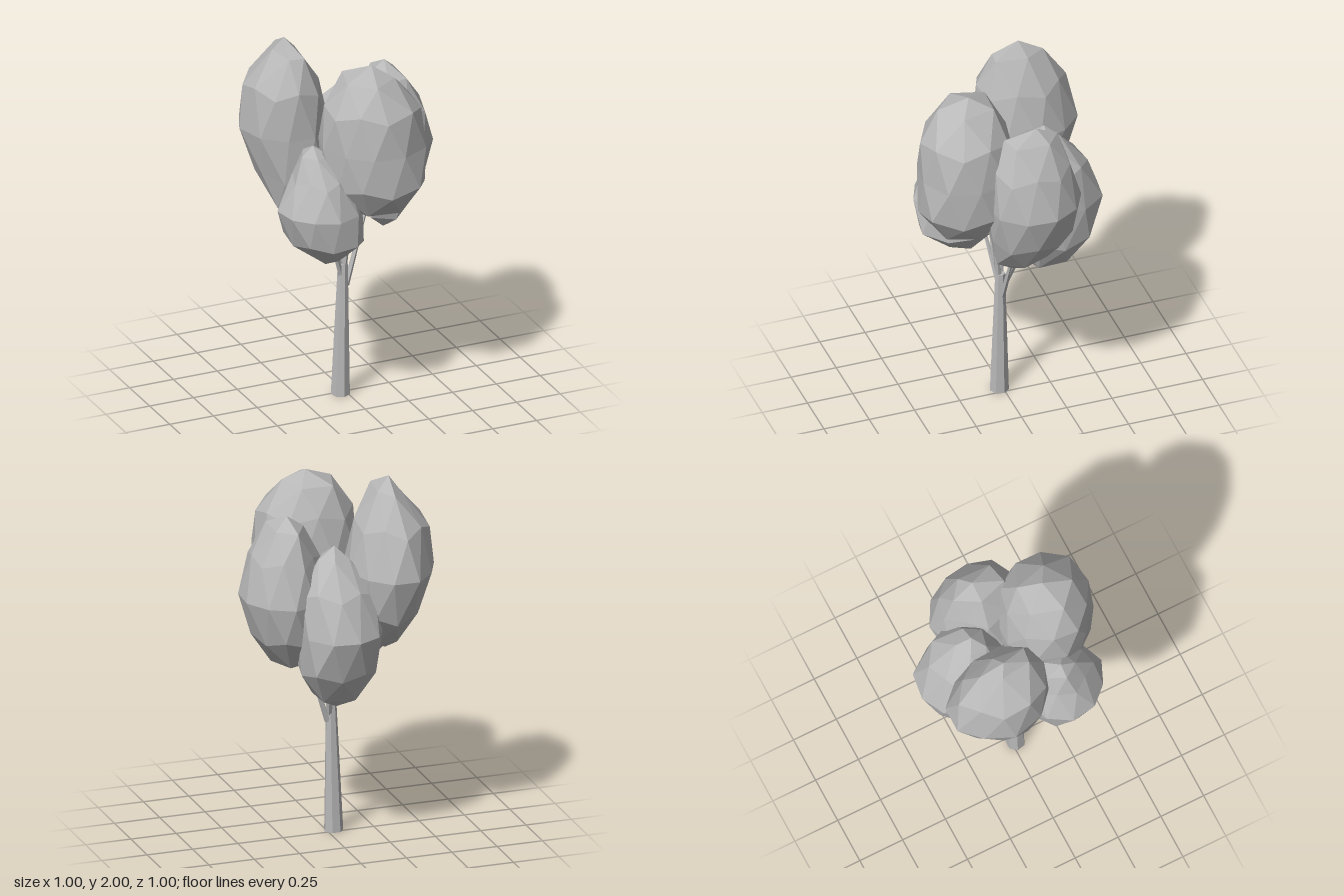
import * as THREE from 'three';

const grey = new THREE.MeshStandardMaterial({ color: 0xb8b8b8, flatShading: true });
grey.name = 'plain grey';

// Faceted foliage clump: an icosphere wrapped onto horizontal cross-sections.
// rows: [y, xMin, xMax, zMin, zMax] from top to bottom
// corners: plan fullness towards (+x+z), (-x+z), (-x-z), (+x-z)
function foliage(name, spin, corners, rows) {
  const geo = new THREE.IcosahedronGeometry(1, 1);
  geo.rotateZ(-Math.atan(2 / (1 + Math.sqrt(5))));
  geo.rotateY(spin);
  const p = geo.attributes.position;
  const top = rows[0][0], bottom = rows[rows.length - 1][0];
  for (let i = 0; i < p.count; i++) {
    const x = p.getX(i), z = p.getZ(i);
    const y = THREE.MathUtils.lerp(bottom, top, (p.getY(i) + 1) / 2);
    // cross-section at this height
    let k = 0;
    while (k < rows.length - 2 && y < rows[k + 1][0]) k++;
    const t = THREE.MathUtils.clamp((rows[k][0] - y) / (rows[k][0] - rows[k + 1][0]), 0, 1);
    const [, x0, x1, z0, z1] = rows[k].map((v, j) => THREE.MathUtils.lerp(v, rows[k + 1][j], t));
    // direction in plan, fuller or flatter towards each corner
    const angle = Math.atan2(z, x);
    const corner = corners[z >= 0 ? (x >= 0 ? 0 : 1) : (x < 0 ? 2 : 3)];
    const r = 1.035 * (1 + (corner - 1) * Math.sin(2 * angle) ** 2);
    p.setXYZ(i,
      (x0 + x1) / 2 + r * Math.cos(angle) * (x1 - x0) / 2,
      y,
      (z0 + z1) / 2 + r * Math.sin(angle) * (z1 - z0) / 2);
  }
  geo.computeVertexNormals();
  const mesh = new THREE.Mesh(geo, grey);
  mesh.name = name;
  return mesh;
}

// tapered limb between two points
function limb(name, from, to, r0, r1, sides) {
  const a = new THREE.Vector3(...from), b = new THREE.Vector3(...to);
  const dir = b.clone().sub(a);
  const mesh = new THREE.Mesh(new THREE.CylinderGeometry(r1, r0, dir.length(), sides), grey);
  mesh.position.copy(a).add(b).multiplyScalar(0.5);
  mesh.quaternion.setFromUnitVectors(new THREE.Vector3(0, 1, 0), dir.normalize());
  mesh.name = name;
  return mesh;
}

export function createModel() {
  const tree = new THREE.Group();
  tree.name = 'tree';

  // trunk
  tree.add(limb('trunk', [-0.035, 0, 0.02], [-0.021, 0.74, 0.02], 0.051, 0.027, 7));

  // branches, a pair into each clump
  const branches = new THREE.Group();
  branches.name = 'branches';
  [
    [[0.0, 0.61, 0.015], [0.14, 1.05, -0.02], [0.16, 1.08, -0.07]],
    [[-0.01, 0.65, 0.01], [0.03, 0.98, -0.13], [0.07, 1.0, -0.12]],
    [[-0.02, 0.7, 0.025], [0.02, 1.2, 0.08], [-0.02, 1.2, 0.06]],
    [[-0.03, 0.7, 0.02], [-0.13, 1.18, -0.08], [-0.1, 1.18, -0.04]],
    [[-0.035, 0.68, 0.025], [-0.12, 0.95, 0.07], [-0.09, 0.98, 0.05]],
  ].forEach(([root, tip, sideTip]) => {
    branches.add(limb('branch', root, tip, 0.016, 0.009, 5));
    const fork = root.map((v, i) => v + (tip[i] - v) * 0.25);
    branches.add(limb('sideBranch', fork, sideTip, 0.01, 0.007, 5));
  });
  tree.add(branches);

  // foliage clumps
  tree.add(
    foliage('backRightFoliage', 0.3, [1.06, 1, 0.89, 0.92], [
      [2.0, -0.27, -0.27, -0.17, -0.17],
      [1.92, -0.33, -0.19, -0.31, 0.0],
      [1.76, -0.47, -0.1, -0.42, 0.05],
      [1.52, -0.5, -0.04, -0.49, 0.06],
      [1.28, -0.43, -0.05, -0.42, 0.06],
      [1.1, -0.37, -0.12, -0.26, 0.04],
      [1.01, -0.29, -0.29, -0.06, -0.06],
    ]),
    foliage('frontFoliage', 0.9, [1.08, 0.89, 1.05, 1.04], [
      [1.94, 0.05, 0.05, 0.22, 0.22],
      [1.88, -0.11, 0.15, 0.08, 0.37],
      [1.73, -0.2, 0.28, 0.02, 0.47],
      [1.51, -0.22, 0.31, -0.02, 0.49],
      [1.3, -0.2, 0.31, -0.01, 0.5],
      [1.15, -0.1, 0.22, 0.1, 0.4],
      [1.08, 0.05, 0.05, 0.22, 0.22],
    ]),
    foliage('leftFoliage', 0.5, [1.06, 1, 0.87, 0.97], [
      [1.81, 0.26, 0.26, -0.08, -0.08],
      [1.75, 0.17, 0.34, -0.2, 0.09],
      [1.58, 0.08, 0.44, -0.26, 0.16],
      [1.37, 0.03, 0.49, -0.31, 0.18],
      [1.15, 0.05, 0.43, -0.27, 0.16],
      [0.99, 0.11, 0.32, -0.16, 0.13],
      [0.92, 0.2, 0.2, 0.04, 0.04],
    ]),
    foliage('backFoliage', 0.1, [1, 1, 1, 1.09], [
      [1.66, 0.04, 0.04, -0.2, -0.2],
      [1.59, -0.04, 0.13, -0.28, -0.11],
      [1.42, -0.16, 0.23, -0.42, -0.04],
      [1.21, -0.19, 0.24, -0.5, 0.0],
      [1.0, -0.17, 0.24, -0.44, -0.02],
      [0.83, -0.11, 0.15, -0.32, -0.08],
      [0.77, 0.03, 0.03, -0.2, -0.2],
    ]),
    foliage('frontRightFoliage', 0.7, [1, 0.88, 1, 1], [
      [1.52, -0.26, -0.26, 0.17, 0.17],
      [1.47, -0.32, -0.18, 0.08, 0.25],
      [1.33, -0.37, -0.09, 0.02, 0.36],
      [1.17, -0.45, -0.02, -0.02, 0.42],
      [1.02, -0.42, 0.02, -0.03, 0.43],
      [0.88, -0.27, -0.09, 0.05, 0.27],
      [0.82, -0.18, -0.18, 0.15, 0.15],
    ]),
  );
  return tree;
}
